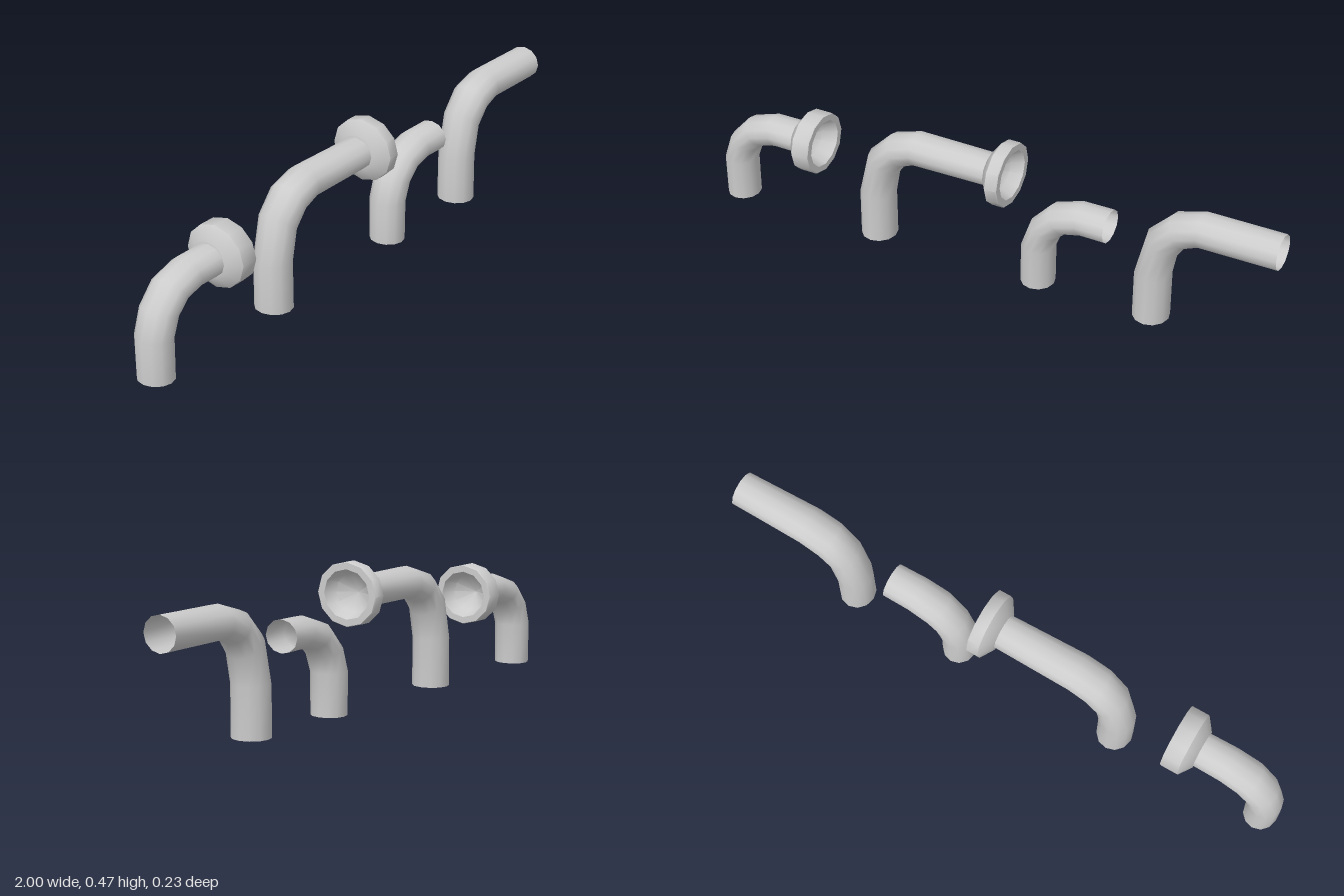
import * as THREE from 'three';
import { toCreasedNormals } from 'three/addons/utils/BufferGeometryUtils.js';

const SIDES = 12;
const solid = new THREE.MeshStandardMaterial({ color: 0xcccccc });
const openSurface = new THREE.MeshStandardMaterial({ color: 0xcccccc, side: THREE.DoubleSide });

// Open bent tube. Each ring: [x, y, tilt in degrees, radius in the bend plane, radius in z]
function bentTube(rings) {
  const positions = [], index = [];
  rings.forEach(([x, y, tilt, r, rz], i) => {
    const t = THREE.MathUtils.degToRad(tilt);
    for (let j = 0; j < SIDES; j++) {
      const a = (j / SIDES) * Math.PI * 2;
      const out = Math.cos(a) * r;
      positions.push(x - Math.cos(t) * out, y + Math.sin(t) * out, Math.sin(a) * rz);
      if (i === 0) continue;
      const k = (j + 1) % SIDES, lo = (i - 1) * SIDES, hi = i * SIDES;
      index.push(lo + j, lo + k, hi + k, lo + j, hi + k, hi + j);
    }
  });
  const geometry = new THREE.BufferGeometry();
  geometry.setAttribute('position', new THREE.Float32BufferAttribute(positions, 3));
  geometry.setIndex(index);
  geometry.computeVertexNormals();
  return geometry;
}

// Collar facing +x: conical back, straight rim, flat lip and a hollow cup
function collarGeometry(length, r, rz) {
  const profile = [
    [0.045, 0], [0.062, 0], [r, 0.031], [r, length - 0.003], [r * 0.98, length],
    [r * 0.77, length], [r * 0.6, length * 0.45], [0, length * 0.05],
  ].map(([x, y]) => new THREE.Vector2(x, y));
  const geometry = new THREE.LatheGeometry(profile, SIDES);
  geometry.rotateZ(-Math.PI / 2);
  geometry.scale(1, 1, rz / r);
  return toCreasedNormals(geometry, 0.8);
}

// Bend cross-sections, with x measured from the axis of the upright
const smallBend = [
  [0, 0, 0, 0.056, 0.06], [0, 0.14, 0, 0.056, 0.062], [0.025, 0.21, 20, 0.054, 0.063],
  [0.075, 0.262, 51, 0.052, 0.064], [0.15, 0.284, 80, 0.052, 0.062],
];
const largeBend = [
  [0, 0, 0, 0.06, 0.064], [0, 0.163, 0, 0.06, 0.063], [0.026, 0.283, 36, 0.06, 0.064],
  [0.08, 0.345, 61, 0.056, 0.067], [0.152, 0.37, 90, 0.054, 0.066],
];

export function createModel() {
  const model = new THREE.Group();
  const pipes = [
    { name: 'smallPipeWithCollar', x: -0.944, end: 0.25, bend: smallBend, y: 0.284, r: 0.053, collar: [0.092, 0.103, 0.109] },
    { name: 'largePipeWithCollar', x: -0.403, end: 0.428, bend: largeBend, y: 0.37, r: 0.053, collar: [0.073, 0.105, 0.113] },
    { name: 'smallPipe', x: 0.19, end: 0.246, bend: smallBend, y: 0.284, r: 0.053 },
    { name: 'largePipe', x: 0.589, end: 0.411, bend: largeBend, y: 0.37, r: 0.056 },
  ];
  for (const { name, x, end, bend, y, r, collar } of pipes) {
    const group = new THREE.Group();
    group.name = name;
    group.position.x = x;
    const tube = new THREE.Mesh(bentTube([...bend, [end, y, 90, r, 0.06]]), openSurface);
    tube.name = 'bentTube';
    group.add(tube);
    if (collar) {
      const mesh = new THREE.Mesh(collarGeometry(...collar), solid);
      mesh.name = 'collar';
      mesh.position.set(end - 0.005, y, 0);
      group.add(mesh);
    }
    model.add(group);
  }
  return model;
}
